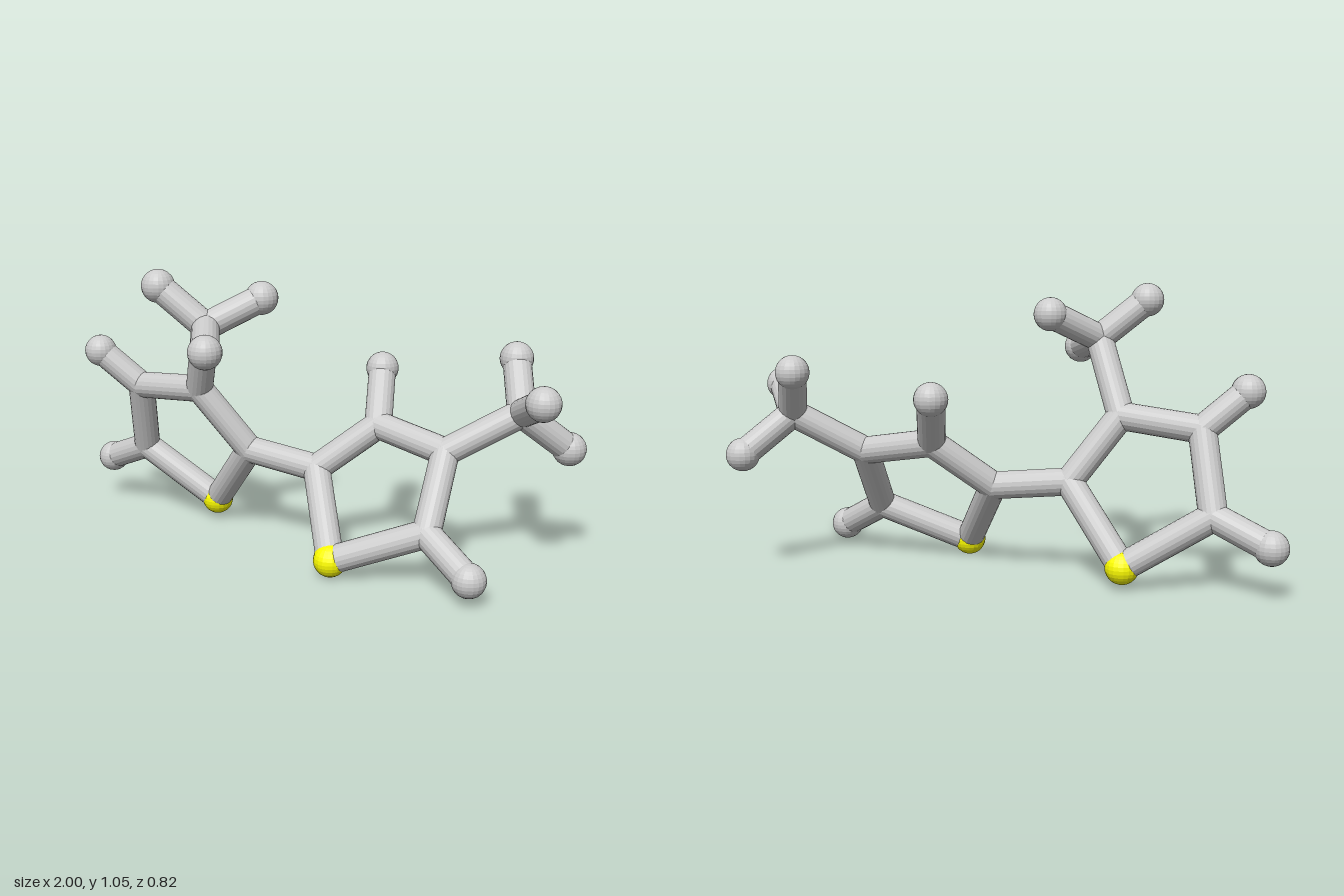
import * as THREE from 'three';

const BOND_R = 0.051, BALL_R = 0.061, SIDES = 20;

// Atom centres: two five-sided rings joined by a bond, each with a three-armed branch
const joints = {
  a2: [-0.21, 0.35, -0.045], a3: [-0.38, 0.585, 0.035], a4: [-0.68, 0.555, -0.01],
  a5: [-0.74, 0.27, -0.12], aM: [-0.27, 0.855, 0.155],
  b2: [0.078, 0.32, -0.045], b3: [0.275, 0.485, -0.155], b4: [0.56, 0.437, -0.105],
  b5: [0.575, 0.195, 0.085], bM: [0.795, 0.582, -0.22],
};
const yellowBalls = {
  aS: [-0.433, 0.08, -0.165], bS: [0.245, 0.062, 0.168],
};
const endBalls = {
  a4H: [-0.83, 0.687, 0.045], a5H: [-0.943, 0.183, -0.16],
  aM1: [-0.438, 0.995, 0.203], aM2: [-0.125, 0.947, 0.003], aM3: [-0.15, 0.809, 0.348],
  b3H: [0.217, 0.662, -0.31], b5H: [0.765, 0.09, 0.167],
  bM1: [0.725, 0.746, -0.35], bM2: [0.923, 0.671, -0.048], bM3: [0.937, 0.44, -0.342],
};
const bonds = ['a2 b2'];
for (const r of ['a', 'b']) {
  for (const p of ['S 2', '2 3', '3 4', '4 5', '5 S', '5 5H', 'M M1', 'M M2', 'M M3'])
    bonds.push(p.split(' ').map((k) => r + k).join(' '));
}
bonds.push('a3 aM', 'a4 a4H', 'b4 bM', 'b3 b3H');

export function createModel() {
  const model = new THREE.Group();
  model.name = 'ballAndStickModel';
  const grey = new THREE.MeshStandardMaterial({ color: 0xcccccc, flatShading: true });
  const yellow = new THREE.MeshStandardMaterial({ color: 0xffff00, flatShading: true });

  const ballGeo = new THREE.SphereGeometry(BALL_R, SIDES, 14);
  const jointGeo = new THREE.SphereGeometry(BOND_R, SIDES, 14);
  const bondGeo = new THREE.CylinderGeometry(BOND_R, BOND_R, 1, SIDES, 1, true);
  const up = new THREE.Vector3(0, 1, 0);

  const addBalls = (set, geo, mat, name) => {
    for (const p of Object.values(set)) {
      const ball = new THREE.Mesh(geo, mat);
      ball.name = name;
      ball.position.set(...p);
      model.add(ball);
    }
  };
  addBalls(joints, jointGeo, grey, 'joint');
  addBalls(yellowBalls, ballGeo, yellow, 'yellowBall');
  addBalls(endBalls, ballGeo, grey, 'endBall');

  // Rods between centres; the balls close their open ends
  const all = { ...joints, ...yellowBalls, ...endBalls };
  for (const pair of bonds) {
    const [p, q] = pair.split(' ').map((k) => new THREE.Vector3(...all[k]));
    const dir = q.clone().sub(p);
    const rod = new THREE.Mesh(bondGeo, grey);
    rod.name = 'rod';
    rod.position.copy(p).add(q).multiplyScalar(0.5);
    rod.scale.y = dir.length();
    rod.quaternion.setFromUnitVectors(up, dir.normalize());
    model.add(rod);
  }
  return model;
}
